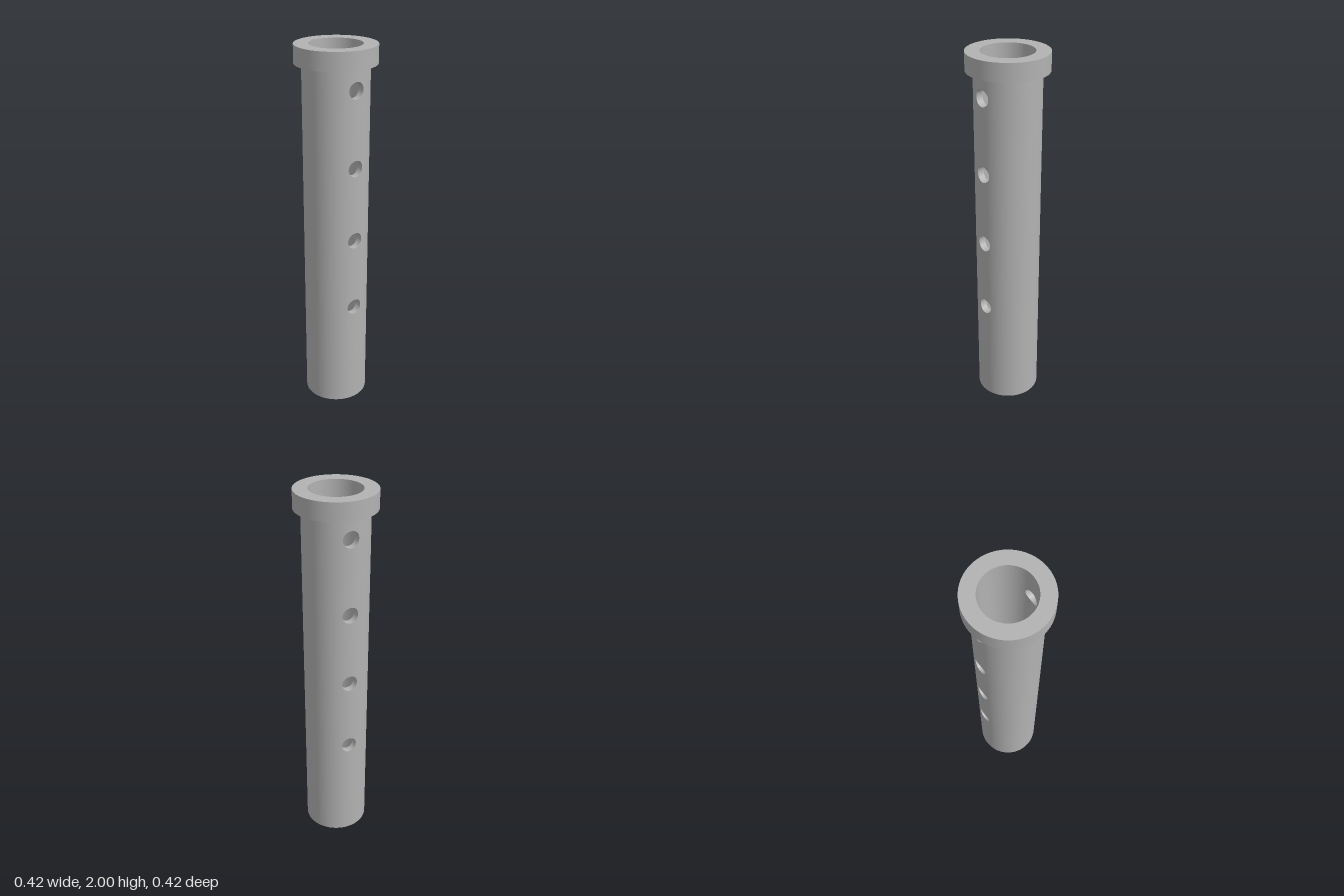
import * as THREE from 'three';
import { ParametricGeometry } from 'three/addons/geometries/ParametricGeometry.js';
import { mergeGeometries } from 'three/addons/utils/BufferGeometryUtils.js';

const TAU = Math.PI * 2;
const OUTER = 0.172, BORE = 0.135, FLANGE = 0.21;
const HEIGHT = 2, FLANGE_Y = 1.905, SHELF_Y = 0.32;
const HOLE_R = 0.043, HOLE_YS = [0.6, 1.0, 1.4, 1.8];
const PATCH_A = 0.45, PATCH_H = 0.08; // half angle and half height of the patch around a hole
const PITCH = 0.032, CREST = 0.085, ROOT = 0.103;

const polar = (r, a, y, target) => target.set(r * Math.cos(a), y, -r * Math.sin(a));

// Ring swept round the axis; r0 and r1 may be functions of the angle
function ring(r0, y0, r1, y1) {
  const at = (r, a) => (typeof r === 'function' ? r(a) : r);
  return new ParametricGeometry((u, v, t) => {
    const a = u * TAU;
    polar(THREE.MathUtils.lerp(at(r0, a), at(r1, a), v), a, THREE.MathUtils.lerp(y0, y1, v), t);
  }, 96, 1);
}

// Cylinder wall from y0 to y1 with the cross holes left open on both sides
function drilledWall(r, y0, y1, inward) {
  const parts = [];
  const add = (fn, nu, nv) =>
    parts.push(new ParametricGeometry((u, v, t) => fn(inward ? 1 - u : u, v, t), nu, nv));
  const panel = (a0, a1, b0, b1, n) =>
    add((u, v, t) => polar(r, a0 + (a1 - a0) * u, b0 + (b1 - b0) * v, t), n, 1);

  for (const side of [0, Math.PI]) {
    panel(side + PATCH_A, side + Math.PI - PATCH_A, y0, y1, 40);
    let low = y0;
    for (const yc of HOLE_YS) {
      panel(side - PATCH_A, side + PATCH_A, low, yc - PATCH_H, 16);
      low = yc + PATCH_H;
      // square outline blending into the round hole
      add((u, v, t) => {
        const c = Math.cos(u * TAU), s = Math.sin(u * TAU);
        const m = Math.max(Math.abs(c), Math.abs(s));
        const a = THREE.MathUtils.lerp(PATCH_A * c / m, Math.asin(HOLE_R * c / r), v);
        const y = THREE.MathUtils.lerp(PATCH_H * s / m, HOLE_R * s, v);
        polar(r, side + a, yc + y, t);
      }, 64, 5);
    }
    panel(side - PATCH_A, side + PATCH_A, low, y1, 16);
  }
  return mergeGeometries(parts);
}

// Lining of one cross hole, from the outer wall to the bore
function holeLining(side, yc) {
  return new ParametricGeometry((u, v, t) => {
    const s = HOLE_R * Math.cos(u * TAU), y = yc + HOLE_R * Math.sin(u * TAU);
    const x = THREE.MathUtils.lerp(Math.sqrt(OUTER ** 2 - s * s), Math.sqrt(BORE ** 2 - s * s), v);
    t.set(side * x, y, -side * s);
  }, 64, 1);
}

// Radius of the screw thread: flat crest and root with sloped flanks
function threadRadius(a, y) {
  const turn = (y - SHELF_Y) / PITCH - (a - Math.PI / 2) / TAU;
  const d = Math.abs(turn - Math.round(turn)); // 0 at root, 0.5 at crest
  const k = THREE.MathUtils.clamp((d - 0.0625) / 0.3125, 0, 1);
  return THREE.MathUtils.lerp(ROOT, CREST, k);
}

export function createModel() {
  const group = new THREE.Group();
  const metal = new THREE.MeshStandardMaterial({ color: 0xb2b2b2 });
  metal.name = 'grey metal';
  const add = (name, geometry) => {
    const mesh = new THREE.Mesh(geometry, metal);
    mesh.name = name;
    group.add(mesh);
  };

  // Tube
  add('outerWall', drilledWall(OUTER, 0, FLANGE_Y, false));
  add('boreWall', drilledWall(BORE, SHELF_Y, HEIGHT, true));
  for (const side of [1, -1]) {
    for (const y of HOLE_YS) add('crossHole', holeLining(side, y));
  }

  // Collar at the top
  add('collarUnderside', ring(OUTER, FLANGE_Y, FLANGE, FLANGE_Y));
  add('collarRim', ring(FLANGE, FLANGE_Y, FLANGE, HEIGHT));
  add('collarTop', ring(FLANGE, HEIGHT, BORE, HEIGHT));

  // Threaded socket at the bottom
  add('boreShelf', ring(BORE, SHELF_Y, a => threadRadius(a, SHELF_Y), SHELF_Y));
  add('screwThread', new ParametricGeometry((u, v, t) => {
    const a = u * TAU, y = SHELF_Y * (1 - v);
    polar(threadRadius(a, y), a, y, t);
  }, 96, 160));
  add('bottomFace', ring(a => threadRadius(a, 0), 0, OUTER, 0));

  return group;
}
